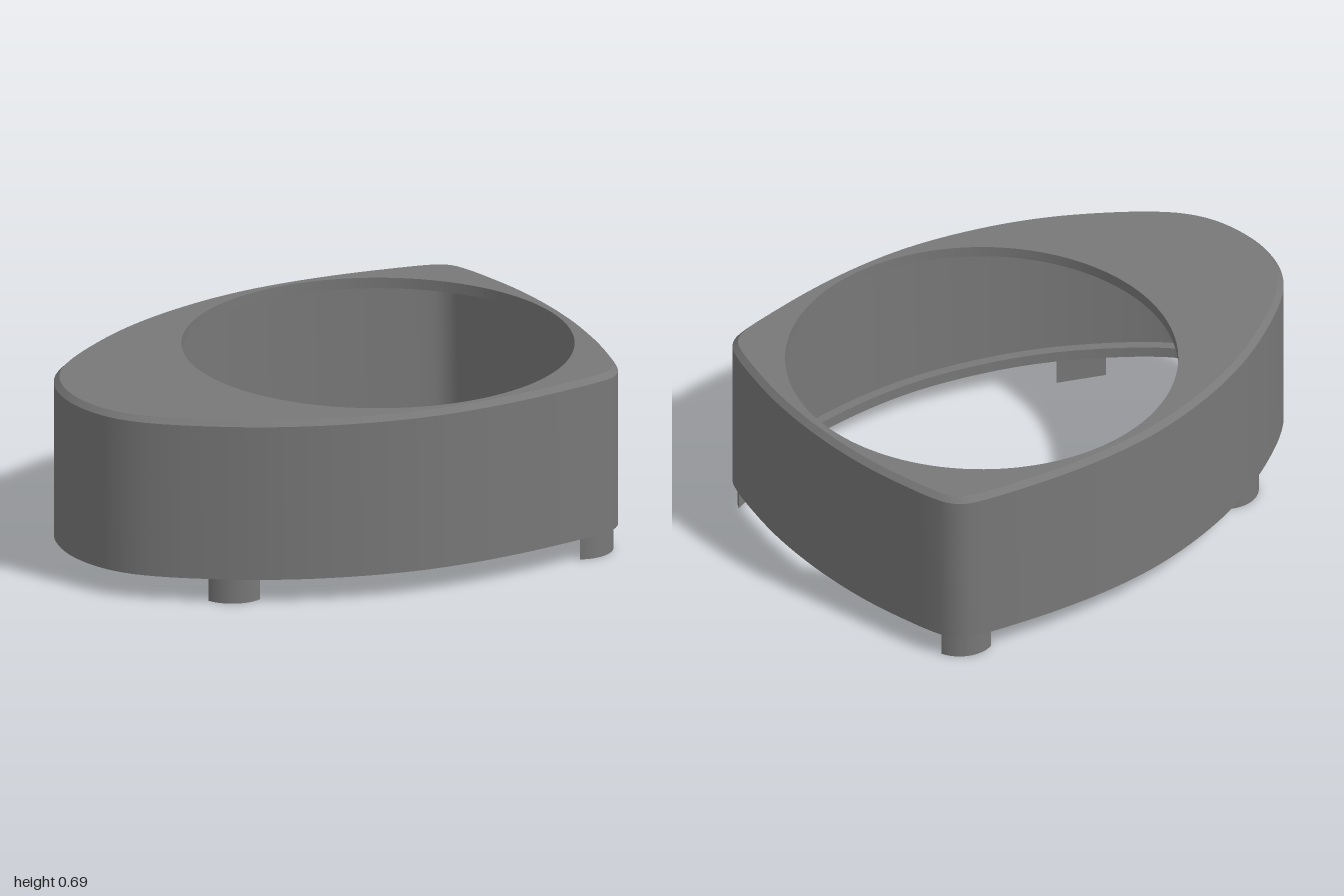
import * as THREE from 'three';
import { mergeGeometries } from 'three/addons/utils/BufferGeometryUtils.js';

const SAMPLES = 240;
const BASE = 0.095, TOP = 0.695, PLATE = 0.04;
const material = new THREE.MeshStandardMaterial({ color: 0x787878 });

// Half outline (x, z) from the rounded nose to the middle of the wide end
const half = [
  [-1, 0], [-0.976, 0.15], [-0.92, 0.263], [-0.82, 0.367], [-0.58, 0.53], [-0.38, 0.627],
  [-0.15, 0.701], [0.05, 0.739], [0.24, 0.75], [0.43, 0.742], [0.62, 0.719], [0.81, 0.683],
  [0.858, 0.663], [0.895, 0.625], [0.918, 0.57], [0.94, 0.49], [0.984, 0.26], [1, 0],
];
const mirrored = half.slice(1, -1).reverse().map(([x, z]) => [x, -z]);
const outline = new THREE.CatmullRomCurve3(
  [...half, ...mirrored].map(([x, z]) => new THREE.Vector3(x, 0, z)), true, 'centripetal');
outline.arcLengthDivisions = 1000;

// Outline moved inwards by a distance
function ring(inset) {
  const points = [];
  for (let i = 0; i < SAMPLES; i++) {
    const p = outline.getPointAt(i / SAMPLES);
    const t = outline.getTangentAt(i / SAMPLES);
    points.push([p.x + t.z * inset, p.z - t.x * inset]);
  }
  return points;
}

// Smooth strip joining two rings, each given as [inset, height]
function band([insetA, yA], [insetB, yB]) {
  const a = ring(insetA), b = ring(insetB);
  const positions = [], index = [];
  for (let i = 0; i < SAMPLES; i++) {
    positions.push(a[i][0], yA, a[i][1], b[i][0], yB, b[i][1]);
    const j = (i + 1) % SAMPLES;
    index.push(2 * i, 2 * i + 1, 2 * j + 1, 2 * i, 2 * j + 1, 2 * j);
  }
  const geometry = new THREE.BufferGeometry();
  geometry.setAttribute('position', new THREE.Float32BufferAttribute(positions, 3));
  geometry.setIndex(index);
  geometry.computeVertexNormals();
  return geometry;
}

function addMesh(group, name, geometry) {
  const mesh = new THREE.Mesh(geometry, material);
  mesh.name = name;
  group.add(mesh);
  return mesh;
}

export function createModel() {
  const group = new THREE.Group();
  group.name = 'housing';

  // Wall: chamfer, outside, underside, inner lip and inside
  const profile = [
    [0.02, TOP], [0, TOP - 0.02], [0, BASE], [0.065, BASE],
    [0.065, BASE + 0.04], [0.03, BASE + 0.04], [0.03, TOP - PLATE],
  ];
  const bands = profile.slice(1).map((p, i) => band(profile[i], p));
  addMesh(group, 'wall', mergeGeometries(bands));

  // Top plate with a large round opening
  const plate = new THREE.Shape(ring(0.02).map(([x, z]) => new THREE.Vector2(x, -z)));
  const opening = new THREE.Path();
  opening.absarc(0.25, 0, 0.705, 0, Math.PI * 2, true);
  plate.holes.push(opening);
  const plateGeometry = new THREE.ExtrudeGeometry(plate, { depth: PLATE, bevelEnabled: false, curveSegments: 96 });
  plateGeometry.rotateX(-Math.PI / 2).translate(0, TOP - PLATE, 0);
  addMesh(group, 'topPlate', plateGeometry);

  // Four feet: circle segments with the flat side inwards, turned along the wall
  const chord = 0.185, bulge = 0.04, footHeight = BASE + 0.02;
  const radius = (chord * chord / 4 + bulge * bulge) / (2 * bulge);
  const spread = Math.asin(chord / 2 / radius);
  const footShape = new THREE.Shape();
  footShape.absarc(0, bulge - radius, radius, Math.PI / 2 - spread, Math.PI / 2 + spread, false);
  footShape.closePath();
  const footGeometry = new THREE.ExtrudeGeometry(footShape, { depth: footHeight, bevelEnabled: false, curveSegments: 24 });
  footGeometry.rotateX(Math.PI / 2).translate(0, footHeight, 0);
  const tilt = 0.39;
  for (const [x, z, turn] of [[-0.577, 0.473, -tilt], [0.81, 0.622, tilt]]) {
    for (const side of [1, -1]) {
      const foot = addMesh(group, 'foot', footGeometry);
      foot.position.set(x, 0, z * side);
      foot.rotation.y = side > 0 ? turn : Math.PI - turn;
    }
  }
  return group;
}
